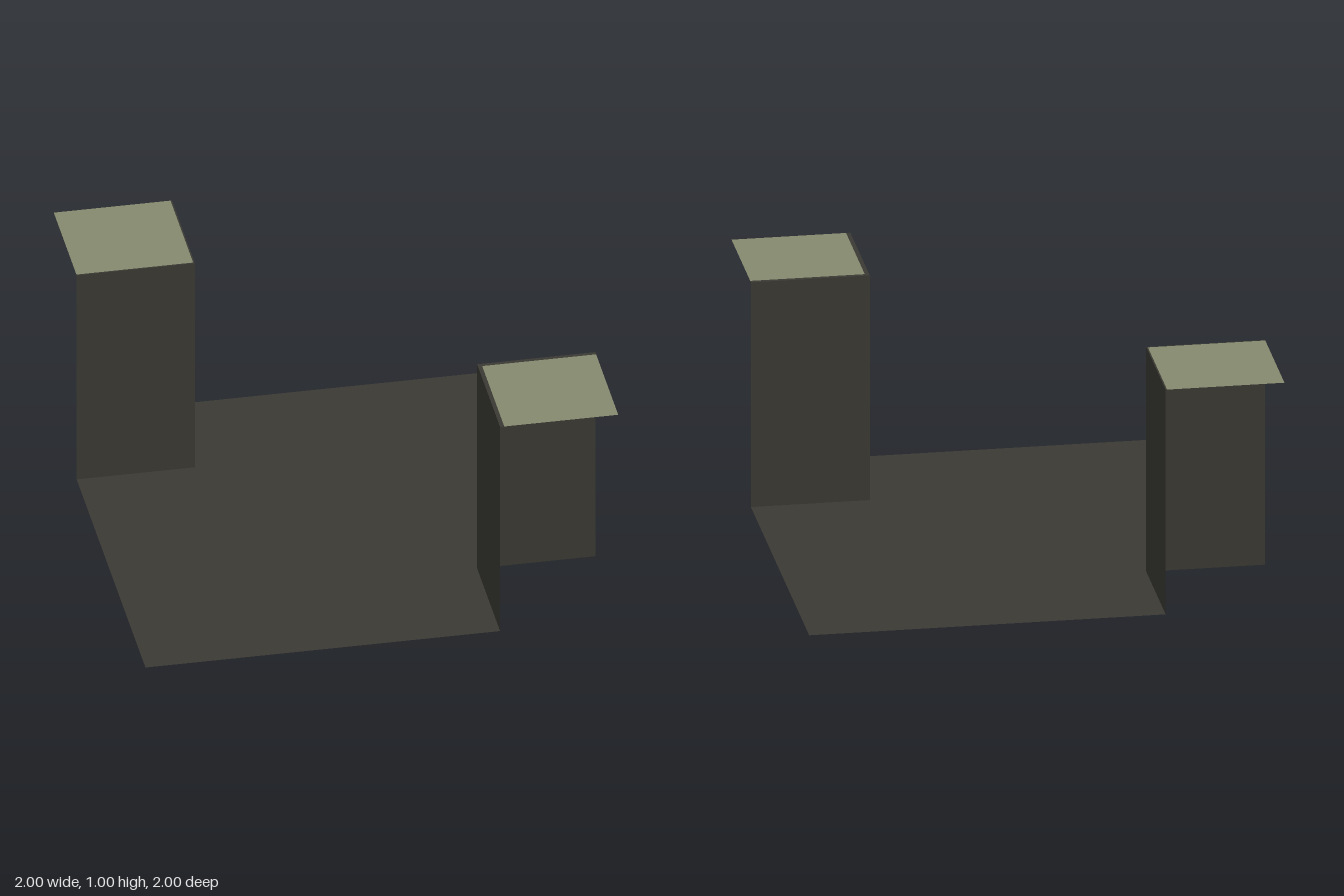
import * as THREE from 'three';

const darkStone = new THREE.MeshStandardMaterial({ color: 0x3b3a34, side: THREE.DoubleSide });
darkStone.name = 'dark stone';
const paleMoss = new THREE.MeshStandardMaterial({ color: 0x868a6f, side: THREE.DoubleSide });
paleMoss.name = 'pale moss';

function add(parent, name, geometry, material) {
  const mesh = new THREE.Mesh(geometry, material);
  mesh.name = name;
  parent.add(mesh);
  return mesh;
}

// Flat horizontal sheet from [x, z] corners, facing up
function sheet(corners, y) {
  const shape = new THREE.Shape(corners.map(([x, z]) => new THREE.Vector2(x, -z)));
  return new THREE.ShapeGeometry(shape).rotateX(-Math.PI / 2).translate(0, y, 0);
}

// Raised corner: two inward walls and a cap, open on the outer sides
function raisedCorner(name, rim) {
  const g = new THREE.Group();
  g.name = name;
  const a = 0.5, b = a + rim;
  add(g, 'wallAcross', new THREE.PlaneGeometry(0.5, 1).rotateY(Math.PI).translate(0.75, 0.5, a), darkStone);
  add(g, 'wallAlong', new THREE.PlaneGeometry(0.5, 1).rotateY(-Math.PI / 2).translate(a, 0.5, 0.75), darkStone);
  add(g, 'cap', sheet([[b, 1], [1, 1], [1, b], [b, b]], 1), paleMoss);
  add(g, 'capRim', sheet([[a, 1], [b, 1], [b, b], [1, b], [1, a], [a, a]], 1), darkStone);
  return g;
}

export function createModel() {
  const model = new THREE.Group();
  model.name = 'cornerBlocks';

  // Floor with two opposite corners cut away
  add(model, 'floor', sheet([
    [-1, 1], [0.5, 1], [0.5, 0.5], [1, 0.5],
    [1, -1], [-0.5, -1], [-0.5, -0.5], [-1, -0.5],
  ], 0), darkStone);

  model.add(raisedCorner('frontCorner', 0.018));
  const back = raisedCorner('backCorner', 0.006);
  back.rotation.y = Math.PI;
  model.add(back);
  return model;
}
